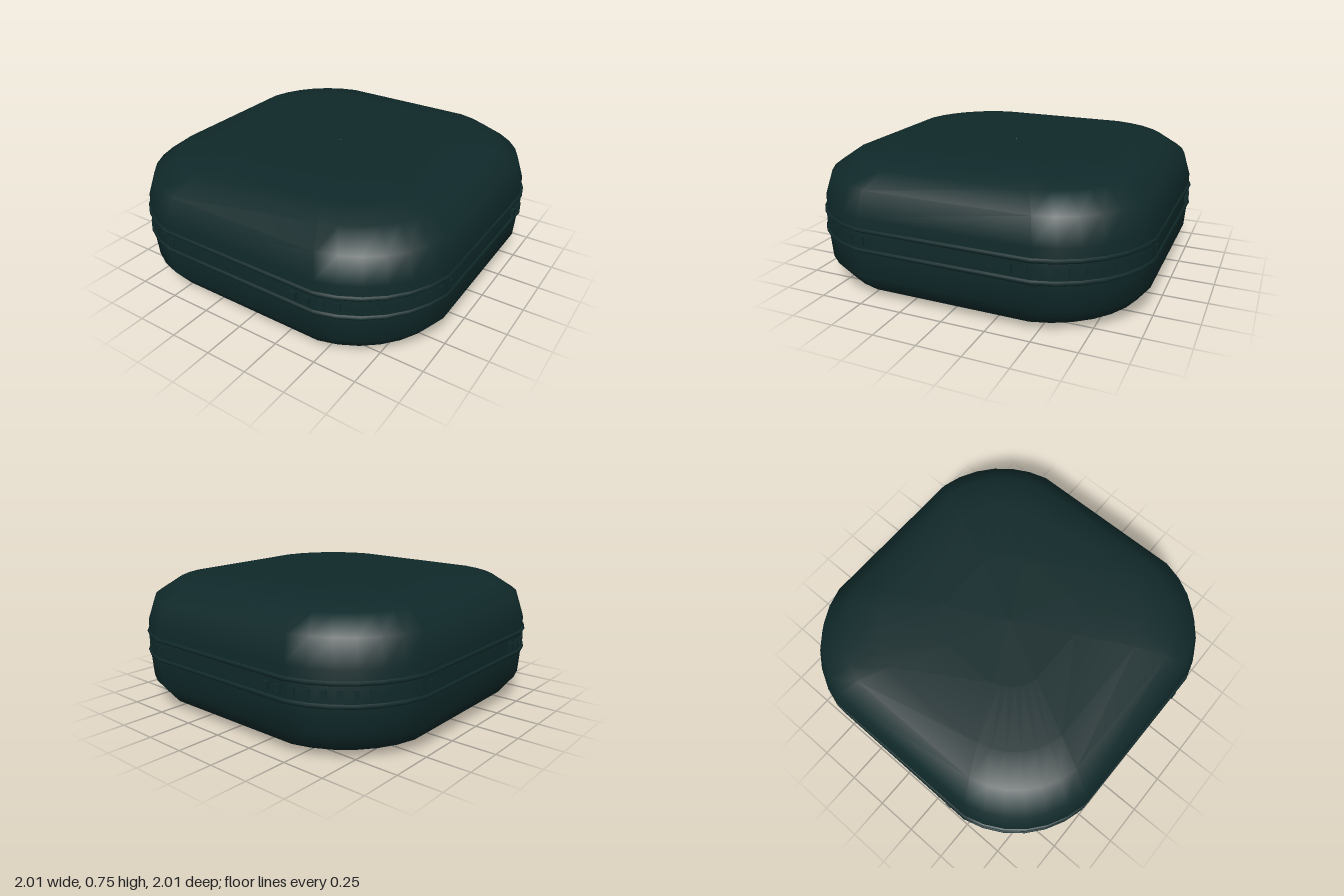
import * as THREE from 'three';

const ARC_CENTRE = 0.383, ARC_RADIUS = 0.618, HALF = 0.99;

// Point on one rounded corner of the plan, turned to any of the four corners
function cornerPoint(corner, degrees, scale = 1) {
  const a = THREE.MathUtils.degToRad(degrees);
  const p = new THREE.Vector3(
    ARC_CENTRE + ARC_RADIUS * Math.sin(a), 0,
    ARC_CENTRE + ARC_RADIUS * Math.cos(a));
  return p.multiplyScalar(scale).applyAxisAngle(new THREE.Vector3(0, 1, 0), corner * Math.PI / 2);
}

// Loft the rounded-square plan through [half width, height] rows, bottom to top
function loftSquare(rows) {
  const steps = 6, n = 4 * (steps + 1);
  const pos = [], index = [];
  for (const [half, y] of rows) {
    for (let c = 0; c < 4; c++) {
      for (let k = 0; k <= steps; k++) {
        const p = cornerPoint(c, 11 + 68 * k / steps, half / HALF);
        pos.push(p.x, y, p.z);
      }
    }
  }
  for (let i = 0; i < rows.length - 1; i++) {
    for (let j = 0; j < n; j++) {
      const a = i * n + j, b = i * n + (j + 1) % n, c = b + n, d = a + n;
      index.push(a, b, c, a, c, d);
    }
  }
  const g = new THREE.BufferGeometry();
  g.setAttribute('position', new THREE.Float32BufferAttribute(pos, 3));
  g.setIndex(index);
  g.computeVertexNormals();
  return g;
}

export function createModel() {
  const model = new THREE.Group();
  model.name = 'roundedCase';
  const shell = new THREE.MeshStandardMaterial({ color: 0x10292a });
  shell.name = 'darkTeal';

  function add(parent, name, geometry) {
    const mesh = new THREE.Mesh(geometry, shell);
    mesh.name = name;
    parent.add(mesh);
    return mesh;
  }

  // Soft, cushion-shaped shell (tiny end rows close the flat faces)
  add(model, 'caseShell', loftSquare([
    [0.001, 0], [0.45, 0], [0.735, 0], [0.9, 0.05], [0.975, 0.155], [0.985, 0.31],
    [0.985, 0.5], [0.945, 0.64], [0.83, 0.725], [0.66, 0.75], [0.35, 0.75], [0.001, 0.75],
  ]));

  // Seam around the middle, turned very slightly on the shell
  const seam = new THREE.Group();
  seam.name = 'seam';
  seam.rotation.y = -0.0075;
  model.add(seam);

  // Two thin piping ridges
  for (const [name, y] of [['lowerPiping', 0.315], ['upperPiping', 0.43]]) {
    add(seam, name, loftSquare([
      [0.975, y - 0.014], [0.989, y - 0.011], [0.996, y], [0.989, y + 0.011], [0.975, y + 0.014],
    ]));
  }

  // Zip teeth around each corner
  const toothShape = new THREE.BoxGeometry(0.032, 0.046, 0.03);
  const count = 12;
  for (let c = 0; c < 4; c++) {
    for (let k = 0; k < count; k++) {
      const deg = 1 + 81 * k / (count - 1);
      const tooth = add(seam, 'zipTooth', toothShape);
      // follow the straight side before the arc begins
      const p = cornerPoint(c, deg, 0.985);
      tooth.position.set(p.x, 0.373, p.z);
      tooth.rotation.y = THREE.MathUtils.degToRad(deg) + c * Math.PI / 2;
    }
  }
  return model;
}
